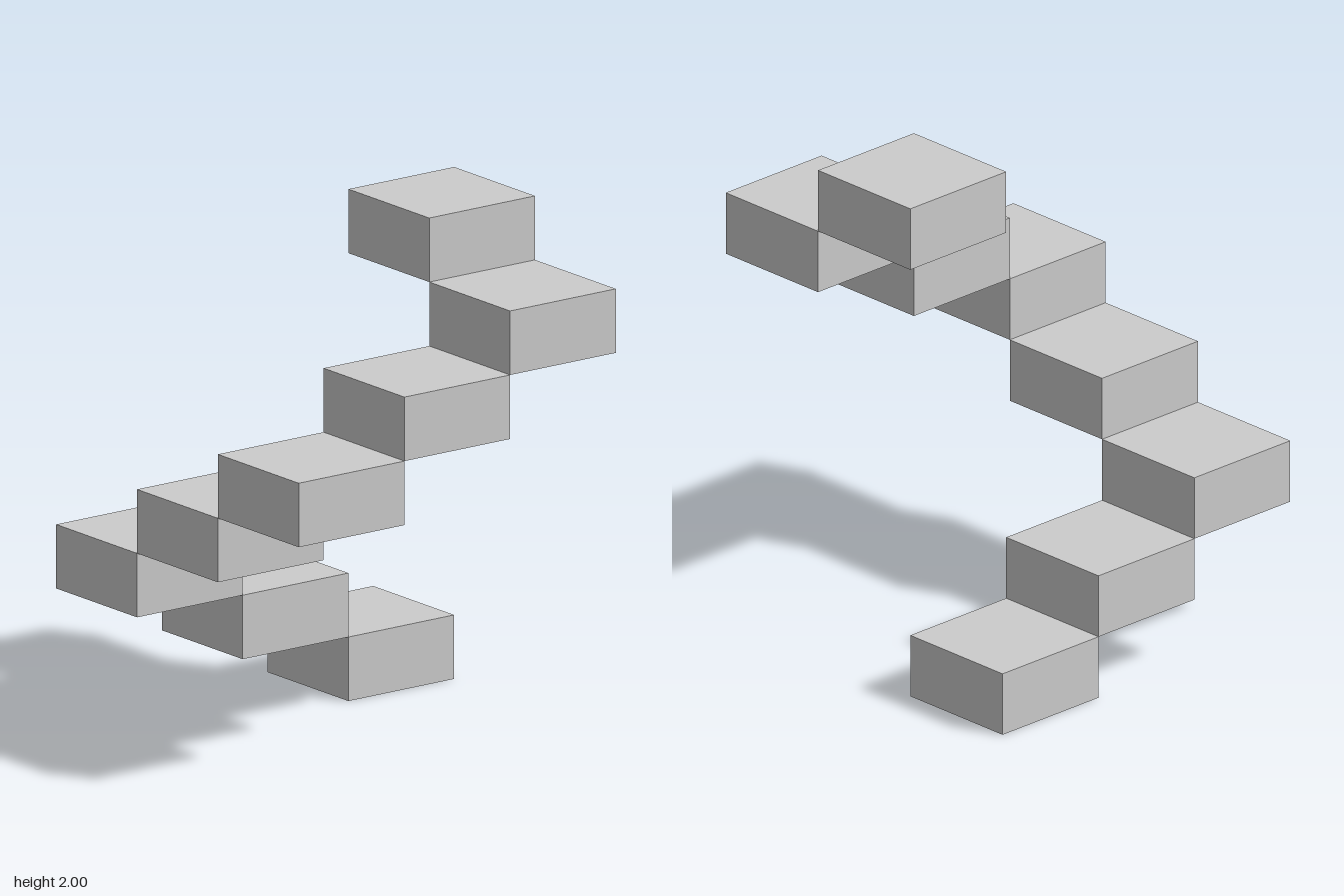
import * as THREE from 'three';

export function createModel() {
  const model = new THREE.Group();
  model.name = 'spiralStaircase';

  const tread = 0.5;
  const rise = 0.25;
  const material = new THREE.MeshStandardMaterial({ color: 0xcccccc, flatShading: true });
  const block = new THREE.BoxGeometry(tread, rise, tread);

  // Grid cells (x, z) around the open square well, from the lowest step to the highest
  const cells = [[1, -1], [0, -1], [-1, -1], [-1, 0], [-1, 1], [0, 1], [1, 1], [1, 0]];

  cells.forEach(([x, z], i) => {
    const step = new THREE.Mesh(block, material);
    step.name = `step${i + 1}`;
    step.position.set(x * tread, (i + 0.5) * rise, z * tread);
    model.add(step);
  });

  return model;
}
